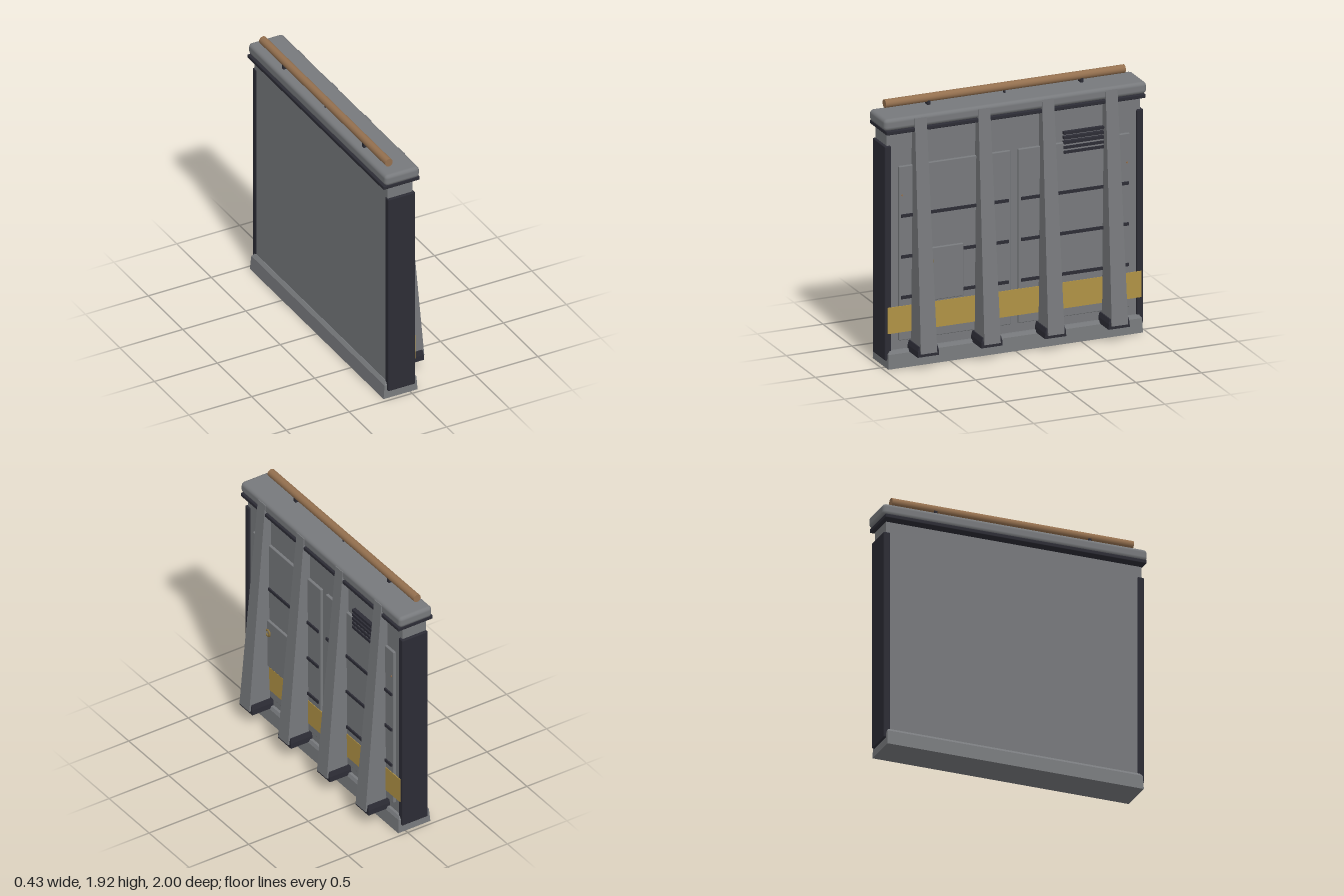
import * as THREE from 'three';
import { RoundedBoxGeometry } from 'three/addons/geometries/RoundedBoxGeometry.js';

export function createModel() {
  const model = new THREE.Group();
  model.name = 'barrierWall';
  const material = (name, color) => {
    const m = new THREE.MeshStandardMaterial({ color });
    m.name = name;
    return m;
  };
  const grey = material('concreteGrey', 0x77797c);
  const dark = material('darkSteel', 0x2c2c35);
  const yellow = material('stripeYellow', 0xb09245);
  const copper = material('copper', 0x94704f);
  const brass = material('brass', 0x86703f);

  const add = (name, geometry, mat) => {
    const mesh = new THREE.Mesh(geometry, mat);
    mesh.name = name;
    model.add(mesh);
    return mesh;
  };
  // Box between limits, with optional rounded edges
  const box = (name, mat, [x0, x1], [y0, y1], [z0, z1], r = 0) => {
    const size = [x1 - x0, y1 - y0, z1 - z0];
    const g = r ? new RoundedBoxGeometry(...size, 2, r) : new THREE.BoxGeometry(...size);
    const mesh = add(name, g, mat);
    mesh.position.set((x0 + x1) / 2, (y0 + y1) / 2, (z0 + z1) / 2);
    return mesh;
  };
  // Tapered block: each end gives inner and outer [x, y] and a half width in z
  const taper = (name, mat, bottom, top, z = 0) => {
    const g = new THREE.BoxGeometry(1, 1, 1).toNonIndexed();
    const p = g.attributes.position;
    for (let i = 0; i < p.count; i++) {
      const end = p.getY(i) > 0 ? top : bottom;
      const [x, y] = p.getX(i) > 0 ? end.outer : end.inner;
      p.setXYZ(i, x, y, z + Math.sign(p.getZ(i)) * end.half);
    }
    g.computeVertexNormals();
    return add(name, g, mat);
  };

  // Plinth, wall and coping
  taper('base', grey,
    { inner: [-0.21, 0], outer: [0.06, 0], half: 0.97 },
    { inner: [-0.2, 0.105], outer: [0.053, 0.105], half: 0.966 });
  taper('baseBevel', grey,
    { inner: [-0.2, 0.105], outer: [0.053, 0.105], half: 0.966 },
    { inner: [-0.18, 0.128], outer: [0.04, 0.128], half: 0.95 });
  box('wall', grey, [-0.175, 0.02], [0.1, 1.72], [-0.966, 0.966]);
  box('copingTrim', dark, [-0.22, 0.07], [1.733, 1.762], [-0.987, 0.987], 0.006);
  box('coping', grey, [-0.21, 0.065], [1.76, 1.847], [-1, 1], 0.028);

  // End pillars
  for (const s of [1, -1]) {
    const z = s > 0 ? [0.936, 0.985] : [-0.985, -0.936];
    box('endPillar', dark, [-0.18, 0.035], [0.06, 1.64], z, 0.008);
  }

  // Door panels with horizontal ribs and a small bolt
  for (const s of [1, -1]) {
    const span = (a, b) => (s > 0 ? [a, b] : [-b, -a]);
    box('doorPanel', grey, [0.01, 0.04], [0.195, 1.48], span(0.03, 0.88), 0.006);
    for (const y of [0.513, 0.813, 1.115]) {
      box('doorRib', dark, [0.03, 0.051], [y - 0.011, y + 0.011], span(0.048, 0.866));
    }
    const bolt = add('doorBolt', new THREE.CylinderGeometry(0.007, 0.007, 0.012, 10), copper);
    bolt.rotation.z = Math.PI / 2;
    bolt.position.set(0.039, 1.267, s * 0.857);
  }

  // Painted band
  box('warningStripe', yellow, [0.038, 0.044], [0.257, 0.45], [-0.966, 0.966]);

  // Hatch with ring handle
  box('hatch', grey, [0.03, 0.058], [0.465, 0.853], [0.396, 0.7], 0.006);
  const ring = add('hatchRing', new THREE.TorusGeometry(0.023, 0.008, 8, 20), brass);
  ring.rotation.y = Math.PI / 2;
  ring.position.set(0.062, 0.755, 0.657);

  // Ventilation louvres
  for (let i = 0; i < 5; i++) {
    const y = 1.41 + i * 0.035;
    box('ventSlat', dark, [0.01, 0.05], [y - 0.01, y + 0.01], [-0.7, -0.374]);
  }

  // Sloping buttresses on steel feet
  for (const z of [-0.727, -0.243, 0.243, 0.727]) {
    taper('buttress', grey,
      { inner: [0.04, 0.12], outer: [0.213, 0.135], half: 0.062 },
      { inner: [-0.03, 1.825], outer: [0.069, 1.83], half: 0.045 }, z);
    taper('buttressFoot', dark,
      { inner: [0.02, 0.11], outer: [0.2, 0.11], half: 0.081 },
      { inner: [0.02, 0.15], outer: [0.2, 0.15], half: 0.079 }, z);
    taper('buttressFootTop', dark,
      { inner: [0.02, 0.15], outer: [0.2, 0.15], half: 0.079 },
      { inner: [0.02, 0.185], outer: [0.195, 0.185], half: 0.07 }, z);
  }

  // Top rail on brackets
  const rail = add('topRail', new THREE.CylinderGeometry(0.03, 0.03, 1.828, 16), copper);
  rail.rotation.x = Math.PI / 2;
  rail.position.set(-0.137, 1.895, 0);
  for (const z of [-0.583, 0, 0.583]) {
    const w = z === 0 ? 0.005 : 0.012;
    box('railBracket', dark, [-0.137 - 2 * w, -0.137 + 2 * w], [1.84, 1.88], [z - w, z + w]);
  }
  return model;
}
